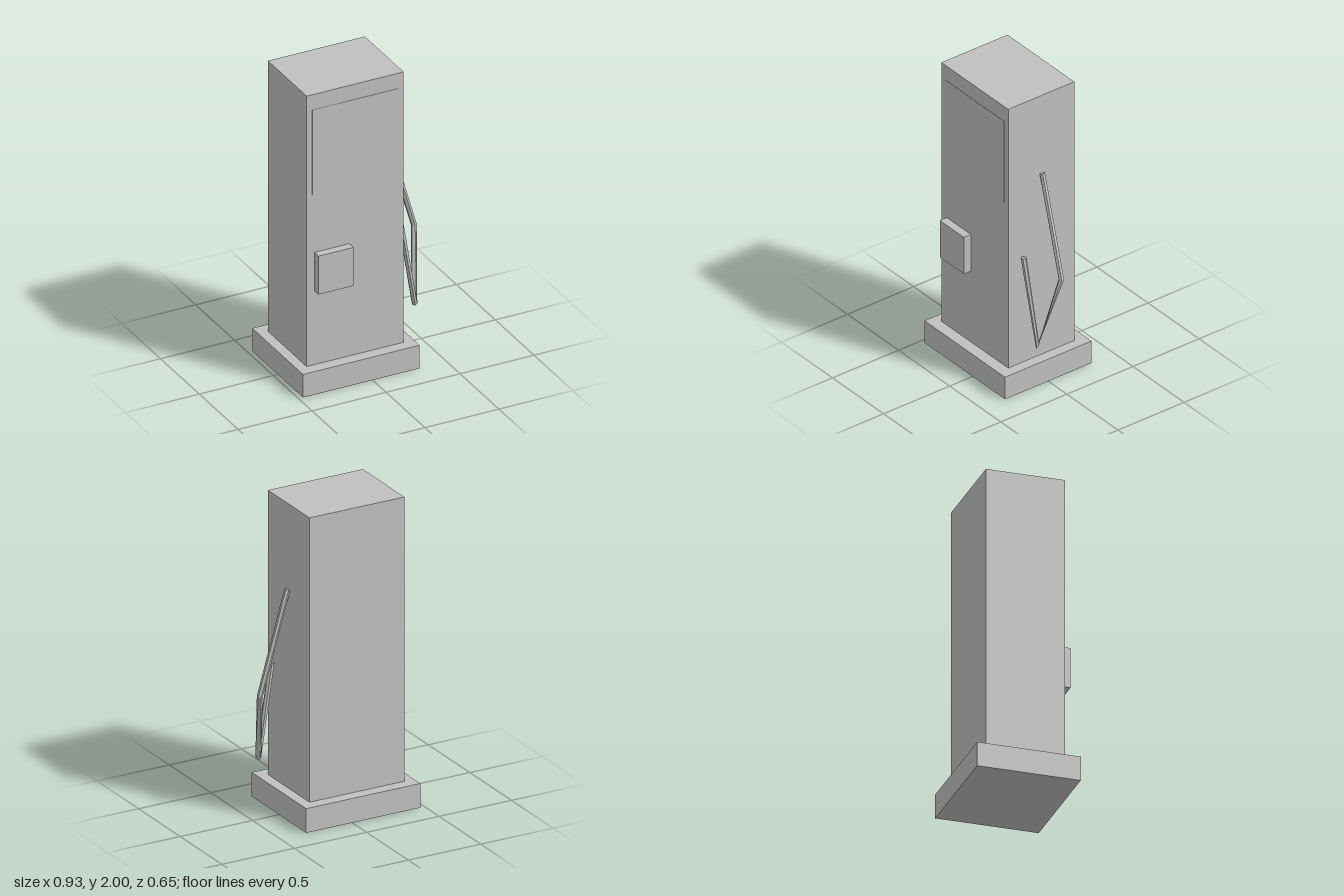
import * as THREE from 'three';

const grey = new THREE.MeshStandardMaterial({ color: 0xc0c0c0 });
grey.name = 'plain grey';

// Box given by its minimum and maximum corners
function box(name, [x0, y0, z0], [x1, y1, z1]) {
  const mesh = new THREE.Mesh(new THREE.BoxGeometry(x1 - x0, y1 - y0, z1 - z0), grey);
  mesh.position.set((x0 + x1) / 2, (y0 + y1) / 2, (z0 + z1) / 2);
  mesh.name = name;
  return mesh;
}

// Straight-segment path with one parameter step per corner
class CornerPath extends THREE.Curve {
  constructor(points) {
    super();
    this.points = points;
  }
  getPoint(t, target = new THREE.Vector3()) {
    const last = this.points.length - 1;
    const i = Math.min(Math.floor(t * last + 1e-9), last - 1);
    return target.lerpVectors(this.points[i], this.points[i + 1], t * last - i);
  }
  getUtoTmapping(u) {
    return u;
  }
}

// Faceted hose with closed ends
function hose(points, radius, sides) {
  const steps = points.length - 1;
  const tube = new THREE.TubeGeometry(new CornerPath(points), steps, radius, sides);
  const index = Array.from(tube.index.array);
  const end = steps * (sides + 1);
  for (let k = 1; k < sides - 1; k++) {
    index.push(0, k, k + 1, end, end + k + 1, end + k);
  }
  tube.setIndex(index);
  const flat = tube.toNonIndexed();
  flat.computeVertexNormals();
  const mesh = new THREE.Mesh(flat, grey);
  mesh.name = 'hose';
  return mesh;
}

export function createModel() {
  const group = new THREE.Group();
  group.name = 'fuelPump';
  group.add(
    box('base', [-0.47, 0, -0.327], [0.318, 0.157, 0.327]),
    box('cabinet', [-0.405, 0.157, -0.25], [0.25, 2, 0.25]),
    box('displayPanel', [-0.368, 1.317, 0.249], [0.212, 1.896, 0.252]),
    box('nozzleHolder', [-0.353, 0.66, 0.25], [-0.116, 0.922, 0.302]),
    // Hose hanging from the side and looping back up
    hose([
      new THREE.Vector3(0.26, 1.451, 0),
      new THREE.Vector3(0.449, 0.793, 0.002),
      new THREE.Vector3(0.385, 0.336, 0.132),
      new THREE.Vector3(0.279, 0.922, 0.156),
    ], 0.018, 6),
  );
  return group;
}
